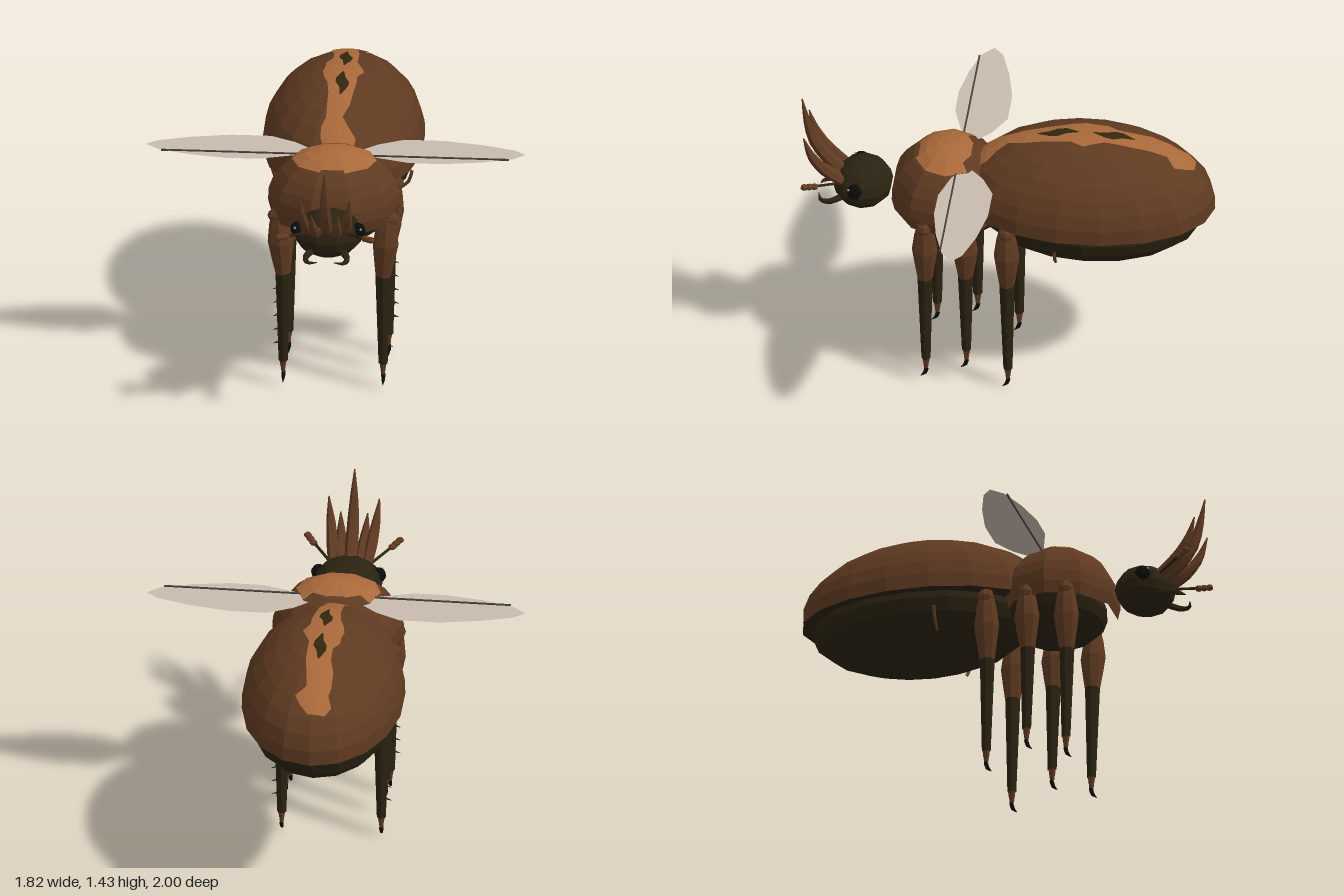
import * as THREE from 'three';

const mat = (name, color, side = THREE.FrontSide) => {
  const m = new THREE.MeshStandardMaterial({ color, side, flatShading: true });
  m.name = name;
  return m;
};

export function createModel() {
  const brown = mat('brown shell', 0x5f3a21);
  const dark = mat('dark underside', 0x2a2211);
  const amber = mat('amber marking', 0xa9693a, THREE.DoubleSide);
  const spotDark = mat('dark marking', 0x33260f, THREE.DoubleSide);
  const black = mat('black eye', 0x0b0b0d);
  const shine = mat('eye glint', 0x7f8c98);
  const wingMat = mat('pale wing', 0xc8bbae, THREE.DoubleSide);
  const veinMat = mat('wing vein', 0x4a4038);

  const model = new THREE.Group();
  const add = (parent, name, geo, material, p = [0, 0, 0], s = [1, 1, 1]) => {
    const m = new THREE.Mesh(geo, material);
    m.name = name;
    m.position.set(...p);
    m.scale.set(...s);
    parent.add(m);
    return m;
  };
  const V = (a) => new THREE.Vector3(...a);

  // Tube whose radius follows a list of values along its path
  const taperTube = (points, radii, sides = 6, steps = 8) => {
    const curve = new THREE.CatmullRomCurve3(points.map(V));
    const g = new THREE.TubeGeometry(curve, steps, 1, sides, false);
    const pos = g.attributes.position, v = new THREE.Vector3();
    for (let k = 0; k < pos.count; k++) {
      const t = Math.floor(k / (sides + 1)) / steps;
      const f = t * (radii.length - 1), i = Math.min(Math.floor(f), radii.length - 2);
      const r = THREE.MathUtils.lerp(radii[i], radii[i + 1], f - i);
      const c = curve.getPointAt(t);
      v.fromBufferAttribute(pos, k).sub(c).multiplyScalar(r).add(c);
      pos.setXYZ(k, v.x, v.y, v.z);
    }
    return g;
  };
  const rod = (a, b, ra, rb, sides = 6) => taperTube([a, b], [ra, rb], sides, 1);

  // Abdomen: open shell over a darker belly
  const C = [0, 0.98, -0.38], R = [0.39, 0.355, 0.62];
  add(model, 'abdomenShell', new THREE.SphereGeometry(1, 18, 8, Math.PI / 2, Math.PI * 2, 0, 1.655), brown, C, R);
  const rim = new THREE.CircleGeometry(1, 18, Math.PI / 2);
  rim.rotateX(Math.PI / 2);
  add(model, 'abdomenRim', rim, dark, [0, 0.951, -0.38], [0.388, 1, 0.617]);
  add(model, 'belly', new THREE.SphereGeometry(1, 16, 10), dark, [0, 0.915, -0.4], [0.352, 0.213, 0.545]);

  // Markings laid over the back: rows of [z, left x, right x]
  const backPatch = (rows, lift) => {
    const cols = 6, pos = [], idx = [];
    const y = (x, z) => C[1] + lift + R[1] * Math.sqrt(1 - (x / R[0]) ** 2 - ((z - C[2]) / R[2]) ** 2);
    rows.forEach(([z, a, b], r) => {
      for (let c = 0; c <= cols; c++) {
        const x = a + (b - a) * c / cols;
        pos.push(x, y(x, z), z);
        if (r && c) {
          const k = r * (cols + 1) + c, u = k - cols - 1;
          idx.push(u - 1, k - 1, u, u, k - 1, k);
        }
      }
    });
    const g = new THREE.BufferGeometry();
    g.setAttribute('position', new THREE.Float32BufferAttribute(pos, 3));
    g.setIndex(idx);
    g.computeVertexNormals();
    return g;
  };
  add(model, 'backStripe', backPatch([
    [-0.9, -0.06, 0.02], [-0.86, -0.09, 0.06], [-0.81, -0.07, 0.09], [-0.77, -0.08, 0.04], [-0.68, -0.08, 0.05],
    [-0.6, -0.06, 0.06], [-0.52, -0.06, 0.06], [-0.47, -0.09, 0.06], [-0.42, -0.09, 0.08], [-0.37, -0.1, 0.1],
    [-0.31, -0.09, 0.07], [-0.25, -0.07, 0.07], [-0.17, -0.06, 0.06], [-0.08, -0.06, 0.05], [0.0, -0.06, 0.02],
    [0.05, -0.08, 0.05], [0.1, -0.08, 0.09], [0.15, -0.06, 0.08]], 0.004), amber);
  [-0.51, -0.24].forEach((z) => add(model, 'backSpot', backPatch([
    [z - 0.1, -0.002, 0.004], [z - 0.04, -0.03, 0.015], [z, -0.03, 0.035],
    [z + 0.04, -0.01, 0.03], [z + 0.1, -0.004, 0.002]], 0.009), spotDark));

  // Thorax: shield, top plate and underside
  const TC = [0, 0.97, 0.28];
  add(model, 'thoraxShield', new THREE.SphereGeometry(1, 10, 8, 0, Math.PI * 2, 0, 1.89), brown, TC, [0.32, 0.255, 0.287]);
  add(model, 'thoraxPlate', new THREE.SphereGeometry(1, 10, 3, 0, Math.PI * 2, 0, 0.68), amber, [0, 0.975, 0.285], [0.325, 0.255, 0.262]);
  add(model, 'thoraxUnderside', new THREE.SphereGeometry(1, 12, 8), dark, [0, 0.905, 0.26], [0.27, 0.145, 0.25]);

  // Head
  add(model, 'head', new THREE.SphereGeometry(1, 10, 8), dark, [0, 0.98, 0.7], [0.167, 0.116, 0.145]);
  add(model, 'centreHorn', taperTube(
    [[0, 1.01, 0.77], [0, 1.1, 0.87], [0, 1.2, 0.94], [0, 1.32, 0.975], [0, 1.43, 0.995]],
    [0.026, 0.032, 0.028, 0.018, 0.003]), brown);

  for (const s of [1, -1]) {
    const side = s > 0 ? 'left' : 'right';
    const P = (x, y, z) => [s * x, y, z];

    // Side horns
    [[0.045, 0.065, 1.2, 0.975], [0.08, 0.122, 1.285, 0.975]].forEach(([bx, tx, ty, tz]) => {
      const at = (f, g, h) => P(bx + (tx - bx) * f, 1.01 + (ty - 1.01) * g, 0.77 + (tz - 0.77) * h);
      add(model, side + 'Horn', taperTube([at(0, 0, 0), at(0.35, 0.28, 0.5), at(0.7, 0.6, 0.82), at(1, 1, 1)],
        [0.022, 0.029, 0.022, 0.003]), brown);
    });

    // Eye with glint
    add(model, side + 'Eye', new THREE.SphereGeometry(0.038, 10, 8), black, P(0.143, 1.007, 0.725));
    add(model, side + 'EyeGlint', new THREE.SphereGeometry(0.007, 6, 4), shine, P(0.158, 1.025, 0.754));

    // Antenna with beaded club
    add(model, side + 'AntennaStalk', rod(P(0.09, 1.02, 0.79), P(0.2, 1.06, 0.93), 0.007, 0.007), dark);
    for (let i = 0; i < 3; i++) {
      add(model, side + 'AntennaBead', new THREE.SphereGeometry(0.02, 6, 5), brown,
        P(0.19 + i * 0.016, 1.055 + i * 0.007, 0.915 + i * 0.022), [1, 0.75, 1]);
    }

    // Mandible
    add(model, side + 'Mandible', taperTube([P(0.07, 0.93, 0.79), P(0.1, 0.915, 0.85), P(0.085, 0.91, 0.895), P(0.04, 0.92, 0.91)],
      [0.018, 0.016, 0.011, 0.002]), dark);

    // Thin band on the side of the belly
    add(model, side + 'BellyBand', taperTube([P(0.337, 0.87, -0.26), P(0.32, 0.81, -0.26), P(0.27, 0.765, -0.26)],
      [0.008, 0.009, 0.006], 5, 4), brown);

    // Wing and its vein
    const outline = [[0.12, 0.17], [0.2, 0.1], [0.32, 0.04], [0.51, 0.04], [0.7, 0.075], [0.86, 0.125], [0.912, 0.17],
      [0.85, 0.225], [0.7, 0.27], [0.52, 0.3], [0.36, 0.298], [0.2, 0.25]];
    const wing = new THREE.ShapeGeometry(new THREE.Shape(outline.map(([x, z]) => new THREE.Vector2(s * x, -z))));
    wing.rotateX(-Math.PI / 2);
    add(model, side + 'Wing', wing, wingMat, [0, 1.17, 0]);
    add(model, side + 'WingVein', new THREE.BoxGeometry(0.69, 0.008, 0.008), veinMat, P(0.49, 1.172, 0.235));

    // Legs: front, middle, hind
    [['front', 0.375, 0.03], ['middle', 0.18, 0.095], ['hind', -0.02, 0]].forEach(([name, z, foot]) => {
      const leg = new THREE.Group();
      leg.name = side + name[0].toUpperCase() + name.slice(1) + 'Leg';
      model.add(leg);
      const knee = 0.59 + foot * 0.4, ankle = 0.11 + foot;
      add(leg, 'hip', new THREE.SphereGeometry(0.05, 8, 6), brown, P(0.265, 0.91, z), [1, 0.8, 0.8]);
      add(leg, 'thigh', taperTube([P(0.262, 0.95, z), P(0.252, 0.77, z), P(0.24, knee, z)],
        [0.03, 0.05, 0.062, 0.05, 0.036], 8, 4), brown);
      add(leg, 'shin', rod(P(0.24, knee + 0.01, z), P(0.24, ankle, z - 0.005), 0.037, 0.022, 8), dark);

      // Spurs along the outer edge of the shin
      for (let i = 0; i < 5; i++) {
        const y = ankle + 0.1 + i * 0.072;
        add(leg, 'spur', rod(P(0.26, y, z), P(0.289, y - 0.01, z), 0.006, 0.001, 4), dark);
      }

      // Tapering foot beads and a forward claw
      for (let i = 0; i < 3; i++) {
        const r = 0.021 - i * 0.004;
        add(leg, 'footSegment', new THREE.CylinderGeometry(r, r * 0.65, 0.026, 6), brown, P(0.24, ankle - 0.004 - i * 0.023, z - 0.005));
      }
      add(leg, 'claw', taperTube([P(0.24, ankle - 0.055, z - 0.008), P(0.24, ankle - 0.085, z), P(0.24, ankle - 0.107, z + 0.022)],
        [0.011, 0.01, 0.001], 5, 4), black);
    });
  }
  return model;
}
